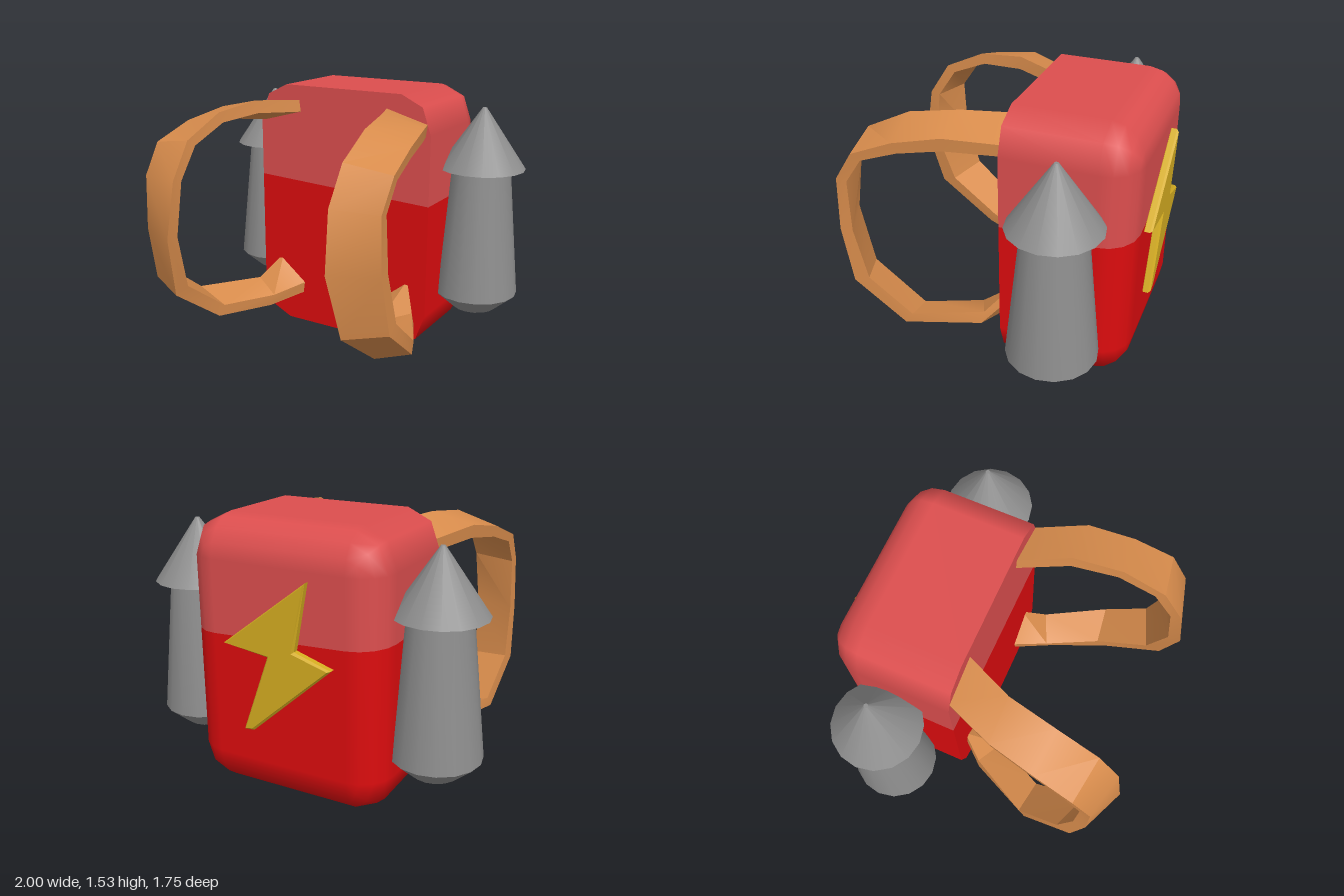
import * as THREE from 'three';
import { toCreasedNormals } from 'three/addons/utils/BufferGeometryUtils.js';

const mat = (name, color) => {
  const m = new THREE.MeshStandardMaterial({ color });
  m.name = name;
  return m;
};

function part(name, geometry, material, parent) {
  const m = new THREE.Mesh(geometry, material);
  m.name = name;
  parent.add(m);
  return m;
}

// Half of the bag (upper: start = 0, lower: start = PI), flat at the front, rounded at the back
function bagHalf(start) {
  const cx = 0.39, rx = 0.19, cy = 0.765, hy = 0.545, ry = 0.22, zc = -0.64, rz = 0.19;
  const pos = [], nor = [], idx = [];
  const splitY = x => 0.925 - 0.043 * x;
  const add = (x, y, z, nx, ny, nz) => {
    pos.push(x, y, z);
    nor.push(nx, ny, nz);
    return pos.length / 3 - 1;
  };

  // One open outline: seam, two corner arcs, seam
  const outline = a => {
    const c = Math.cos(a), pts = [];
    const seam = t => {
      const x = Math.cos(t) * (cx + rx * c);
      pts.push([x, splitY(x), t]);
    };
    seam(start);
    for (let k = 0; k < 2; k++) {
      const mid = start + Math.PI / 4 + k * Math.PI / 2;
      for (let i = 0; i <= 2; i++) {
        const t = start + k * Math.PI / 2 + i * Math.PI / 4;
        pts.push([
          Math.sign(Math.cos(mid)) * cx + rx * c * Math.cos(t),
          cy + Math.sign(Math.sin(mid)) * hy + ry * c * Math.sin(t), t]);
      }
    }
    seam(start + Math.PI);
    return pts;
  };

  const layers = [[0, -0.11]];
  for (let i = 0; i <= 4; i++) {
    const a = i * Math.PI / 8;
    layers.push([a, zc - rz * Math.sin(a)]);
  }
  const n = 8;
  layers.forEach(([a, z], j) => {
    for (const [x, y, t] of outline(a))
      add(x, y, z, Math.cos(a) * Math.cos(t), Math.cos(a) * Math.sin(t), -Math.sin(a));
    if (j === 0) return;
    for (let i = 0; i < n - 1; i++) {
      const p = (j - 1) * n + i, q = p + n;
      idx.push(p, q, p + 1, p + 1, q, q + 1);
    }
  });

  // Flat front and back panels
  const cap = (a, z, nz) => {
    const ids = outline(a).map(([x, y]) => add(x, y, z, 0, 0, nz));
    for (let i = 1; i < n - 1; i++)
      idx.push(ids[0], ...(nz > 0 ? [ids[i], ids[i + 1]] : [ids[i + 1], ids[i]]));
  };
  cap(0, -0.11, 1);
  cap(Math.PI / 2, zc - rz, -1);

  const g = new THREE.BufferGeometry();
  g.setAttribute('position', new THREE.Float32BufferAttribute(pos, 3));
  g.setAttribute('normal', new THREE.Float32BufferAttribute(nor, 3));
  g.setIndex(idx);
  return g;
}

// Strap stations: outer face inside edge, outer face outside edge, inner face outside edge
const STRAP = [
  [[0.29, 1.44, -0.13], [0.55, 1.37, -0.13], [0.54, 1.30, -0.13]],
  [[0.42, 1.465, 0.16], [0.67, 1.41, 0.16], [0.66, 1.335, 0.16]],
  [[0.47, 1.43, 0.44], [0.72, 1.36, 0.42], [0.71, 1.30, 0.40]],
  [[0.49, 1.31, 0.69], [0.75, 1.27, 0.65], [0.74, 1.235, 0.60]],
  [[0.49, 1.11, 0.82], [0.745, 1.10, 0.76], [0.74, 1.09, 0.70]],
  [[0.505, 0.79, 0.875], [0.755, 0.79, 0.765], [0.75, 0.79, 0.69]],
  [[0.545, 0.43, 0.79], [0.77, 0.47, 0.70], [0.76, 0.50, 0.61]],
  [[0.54, 0.17, 0.43], [0.75, 0.24, 0.40], [0.74, 0.30, 0.36]],
  [[0.40, 0.15, 0.09], [0.57, 0.21, 0.01], [0.55, 0.28, 0]],
  [[0.27, 0.20, -0.13], [0.46, 0.35, -0.13], [0.45, 0.42, -0.13]],
];

function strapGeometry(side) {
  const pos = [], idx = [];
  const tri = (a, b, c) => (side > 0 ? idx.push(a, b, c) : idx.push(a, c, b));
  for (const [o1, o2, i2] of STRAP) {
    const i1 = o1.map((v, k) => v + i2[k] - o2[k]);
    for (const [x, y, z] of [o1, o2, i2, i1]) pos.push(side * x, y, z);
  }
  for (let s = 0; s < STRAP.length - 1; s++) {
    for (let k = 0; k < 4; k++) {
      const a = s * 4 + k, b = s * 4 + (k + 1) % 4;
      tri(a, a + 4, b);
      tri(b, a + 4, b + 4);
    }
  }
  const e = pos.length / 3 - 4;
  tri(0, 1, 2);
  tri(0, 2, 3);
  tri(e, e + 2, e + 1);
  tri(e, e + 3, e + 2);
  const g = new THREE.BufferGeometry();
  g.setAttribute('position', new THREE.Float32BufferAttribute(pos, 3));
  g.setIndex(idx);
  return toCreasedNormals(g, 0.6);
}

export function createModel() {
  const model = new THREE.Group();
  model.name = 'rocketBackpack';
  const lightRed = mat('light red', 0xdc4e4e);
  const red = mat('red', 0xdc0c0e);
  const grey = mat('grey', 0x8e8e8e);
  const tan = mat('tan', 0xd88c4c);
  const gold = mat('gold', 0xd4ac20);

  part('bagUpper', bagHalf(0), lightRed, model);
  part('bagLower', bagHalf(Math.PI), red, model);

  // Rocket profile: nozzle, tapered tank, nose cone
  const profile = [[0, 0.205], [0.13, 0.205], [0.25, 0.31], [0.17, 1.08], [0.255, 1.08], [0.012, 1.435], [0, 1.435]]
    .map(([r, y]) => new THREE.Vector2(r, y));
  const rocket = toCreasedNormals(new THREE.LatheGeometry(profile, 16), 0.6);

  for (const side of [1, -1]) {
    const label = side > 0 ? 'left' : 'right';
    part(label + 'Rocket', rocket, grey, model).position.set(side * 0.743, 0, -0.48);
    part(label + 'Strap', strapGeometry(side), tan, model);
  }

  // Lightning bolt on the back panel
  const bolt = new THREE.Shape([
    [-0.19, 1.265], [0.31, 0.88], [0.04, 0.845], [0.2, 0.41], [0.14, 0.415], [-0.33, 0.835], [-0.12, 0.9],
  ].map(([x, y]) => new THREE.Vector2(x, y)));
  const boltGeometry = new THREE.ExtrudeGeometry(bolt, {
    depth: 0.03, bevelThickness: 0.012, bevelSize: 0.012, bevelOffset: -0.012, bevelSegments: 1,
  });
  part('bolt', boltGeometry, gold, model).position.z = -0.863;

  return model;
}
